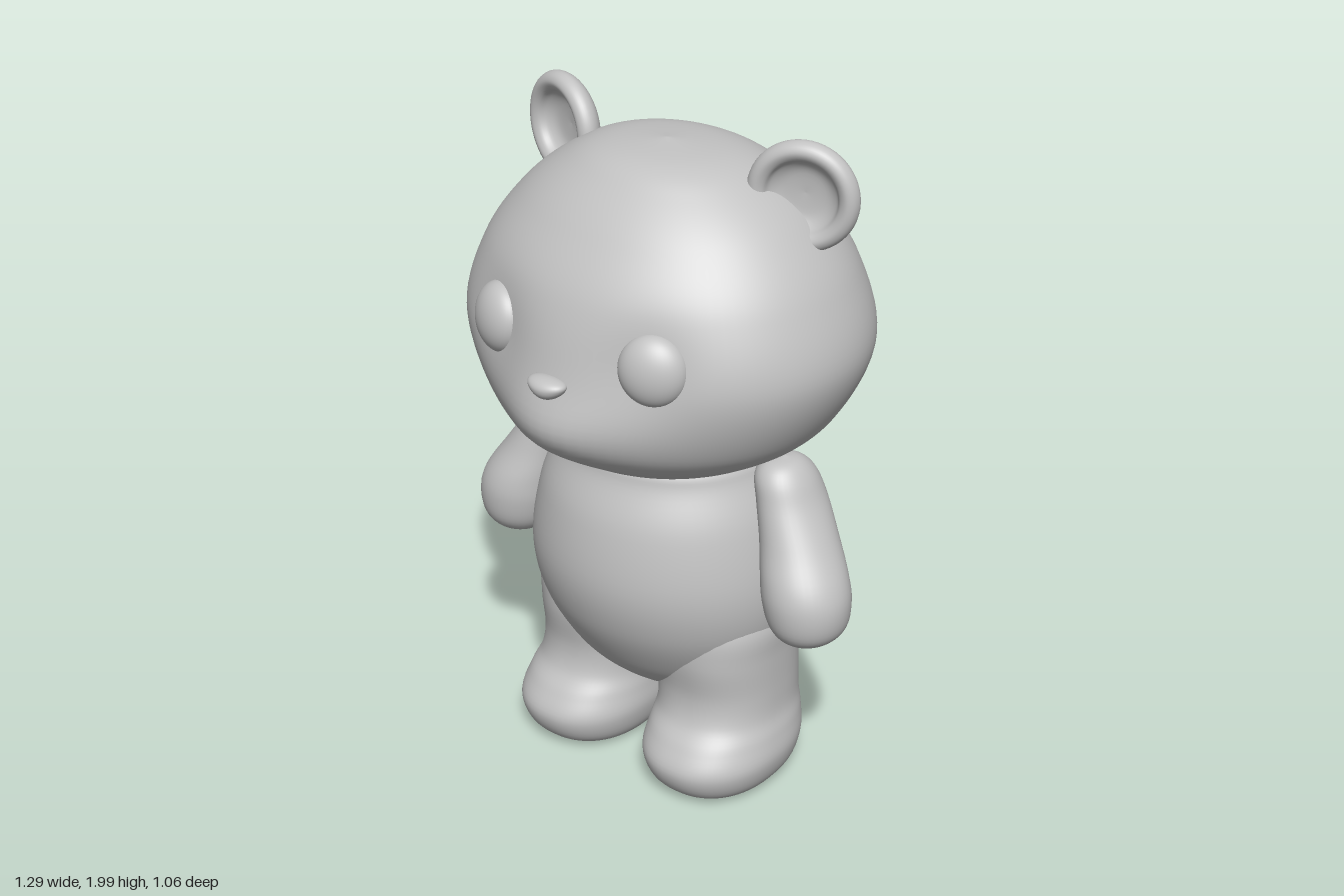
import * as THREE from 'three';

const grey = new THREE.MeshStandardMaterial({ color: 0xc2c2c2 });
grey.name = 'soft grey';

// Smooth closed loft. Rows run bottom to top: [y, half width, front z, back z, centre x]
function loft(rows, { power = 2, side = 1, steps = 56, segs = 72, warp } = {}) {
  const widths = new THREE.CatmullRomCurve3(
    rows.map(([y, w, , , cx = 0]) => new THREE.Vector3(w, y, cx)), false, 'catmullrom', 0.5);
  const depths = new THREE.CatmullRomCurve3(
    rows.map(([y, , f, b]) => new THREE.Vector3(f, y, b)), false, 'catmullrom', 0.5);
  const round = (v) => Math.sign(v) * Math.pow(Math.abs(v), 2 / power);
  const pos = [], index = [];
  for (let i = 0; i <= steps; i++) {
    const a = widths.getPoint(i / steps), d = depths.getPoint(i / steps);
    for (let j = 0; j < segs; j++) {
      const t = (j / segs) * Math.PI * 2;
      const p = new THREE.Vector3(
        a.z * side + a.x * round(Math.cos(t)),
        a.y,
        (d.x + d.z) / 2 + ((d.x - d.z) / 2) * round(Math.sin(t)));
      if (warp) warp(p);
      pos.push(p.x, p.y, p.z);
      if (i < steps) {
        const k = i * segs + j, n = i * segs + ((j + 1) % segs);
        index.push(k, k + segs, n, n, k + segs, n + segs);
      }
    }
  }
  const g = new THREE.BufferGeometry();
  g.setAttribute('position', new THREE.Float32BufferAttribute(pos, 3));
  g.setIndex(index);
  g.computeVertexNormals();
  return g;
}

const bump = (x, y, sx, sy) => Math.exp(-((x / sx) ** 2) - (y / sy) ** 2);

export function createModel() {
  const model = new THREE.Group();
  model.name = 'bear';
  const add = (name, geometry, position = [0, 0, 0], scale = [1, 1, 1]) => {
    const mesh = new THREE.Mesh(geometry, grey);
    mesh.name = name;
    mesh.position.set(...position);
    mesh.scale.set(...scale);
    model.add(mesh);
    return mesh;
  };
  const ball = new THREE.SphereGeometry(1, 40, 28);

  // Head with a soft muzzle and shallow eye hollows
  add('head', loft([
    [1.0, 0, -0.02, -0.02], [1.03, 0.24, 0.21, -0.28], [1.09, 0.38, 0.33, -0.37],
    [1.2, 0.51, 0.43, -0.46], [1.4, 0.595, 0.47, -0.53], [1.6, 0.54, 0.42, -0.49],
    [1.75, 0.435, 0.32, -0.4], [1.85, 0.313, 0.22, -0.3], [1.905, 0.19, 0.13, -0.19],
    [1.928, 0, -0.02, -0.02],
  ], {
    power: 2.06, steps: 80, segs: 96,
    warp: (p) => {
      if (p.z <= 0) return;
      p.z += 0.07 * bump(p.x, p.y - 1.24, 0.2, 0.12) * Math.min(1, p.z / 0.3);
      p.z -= 0.03 * bump(Math.abs(p.x) - 0.25, p.y - 1.45, 0.13, 0.13) * Math.min(1, p.z / 0.3);
    },
  }));

  // Nose, tapering to a rounded point below
  const noseShape = ball.clone();
  const np = noseShape.attributes.position;
  for (let i = 0; i < np.count; i++) {
    const y = np.getY(i);
    np.setX(i, np.getX(i) * (1 + 0.3 * y));
    if (y > 0) np.setY(i, y * 0.75);
  }
  noseShape.computeVertexNormals();
  add('nose', noseShape, [0, 1.387, 0.488], [0.058, 0.036, 0.042]);

  // Torso
  add('torso', loft([
    [0.235, 0, -0.03, -0.03], [0.255, 0.15, 0.07, -0.13], [0.33, 0.27, 0.17, -0.25],
    [0.42, 0.35, 0.24, -0.34], [0.55, 0.405, 0.306, -0.395], [0.7, 0.418, 0.335, -0.412],
    [0.88, 0.385, 0.312, -0.385], [1.0, 0.335, 0.265, -0.335], [1.05, 0.315, 0.25, -0.315],
    [1.12, 0.26, 0.2, -0.26], [1.15, 0, -0.03, -0.03],
  ]));

  // Tail
  add('tail', ball, [0, 0.457, -0.406], [0.104, 0.104, 0.104]);

  for (const side of [1, -1]) {
    const label = side > 0 ? 'left' : 'right';

    // Leg and foot in one form
    add(label + 'Leg', loft([
      [0.008, 0, 0.02, 0.02, 0.23], [0.012, 0.13, 0.17, -0.15, 0.23],
      [0.045, 0.18, 0.24, -0.22, 0.232], [0.12, 0.203, 0.27, -0.245, 0.233],
      [0.19, 0.196, 0.235, -0.25, 0.229], [0.25, 0.186, 0.19, -0.25, 0.222],
      [0.33, 0.188, 0.175, -0.25, 0.216], [0.45, 0.19, 0.19, -0.25, 0.214],
      [0.56, 0.185, 0.18, -0.25, 0.218], [0.66, 0.12, 0.12, -0.18, 0.22],
      [0.69, 0, -0.03, -0.03, 0.22],
    ], { side, power: 2.25 }));

    // Arm, swelling towards the hand
    add(label + 'Arm', loft([
      [0.565, 0, 0.015, 0.015, 0.525], [0.58, 0.065, 0.085, -0.055, 0.525],
      [0.625, 0.108, 0.128, -0.098, 0.527], [0.7, 0.125, 0.142, -0.11, 0.521],
      [0.77, 0.122, 0.132, -0.117, 0.505], [0.86, 0.108, 0.095, -0.138, 0.464],
      [0.96, 0.092, 0.064, -0.158, 0.418], [1.03, 0.08, 0.045, -0.145, 0.392],
      [1.068, 0.048, 0.01, -0.105, 0.387], [1.08, 0, -0.05, -0.05, 0.39],
    ], { side, steps: 44, segs: 40 }));

    // Cupped ear turned a little outwards
    const cup = [
      [0, -0.045], [0.06, -0.044], [0.11, -0.035], [0.142, -0.014], [0.155, 0.012],
      [0.147, 0.036], [0.127, 0.046], [0.106, 0.036], [0.092, 0.014], [0.06, -0.004], [0, -0.01],
    ].map(([x, y]) => new THREE.Vector2(x, y));
    const profile = new THREE.SplineCurve(cup).getPoints(44);
    profile.forEach((p) => { p.x = Math.max(0, p.x); });
    const ear = add(label + 'Ear', new THREE.LatheGeometry(profile, 56).rotateX(Math.PI / 2),
      [side * 0.403, 1.845, -0.088]);
    ear.rotation.y = side * 0.32;

    // Eye mound
    const eye = add(label + 'Eye', ball, [side * 0.263, 1.468, 0.372], [0.096, 0.1, 0.062]);
    eye.rotation.set(-0.1, side * 0.38, 0, 'YXZ');
  }

  return model;
}
